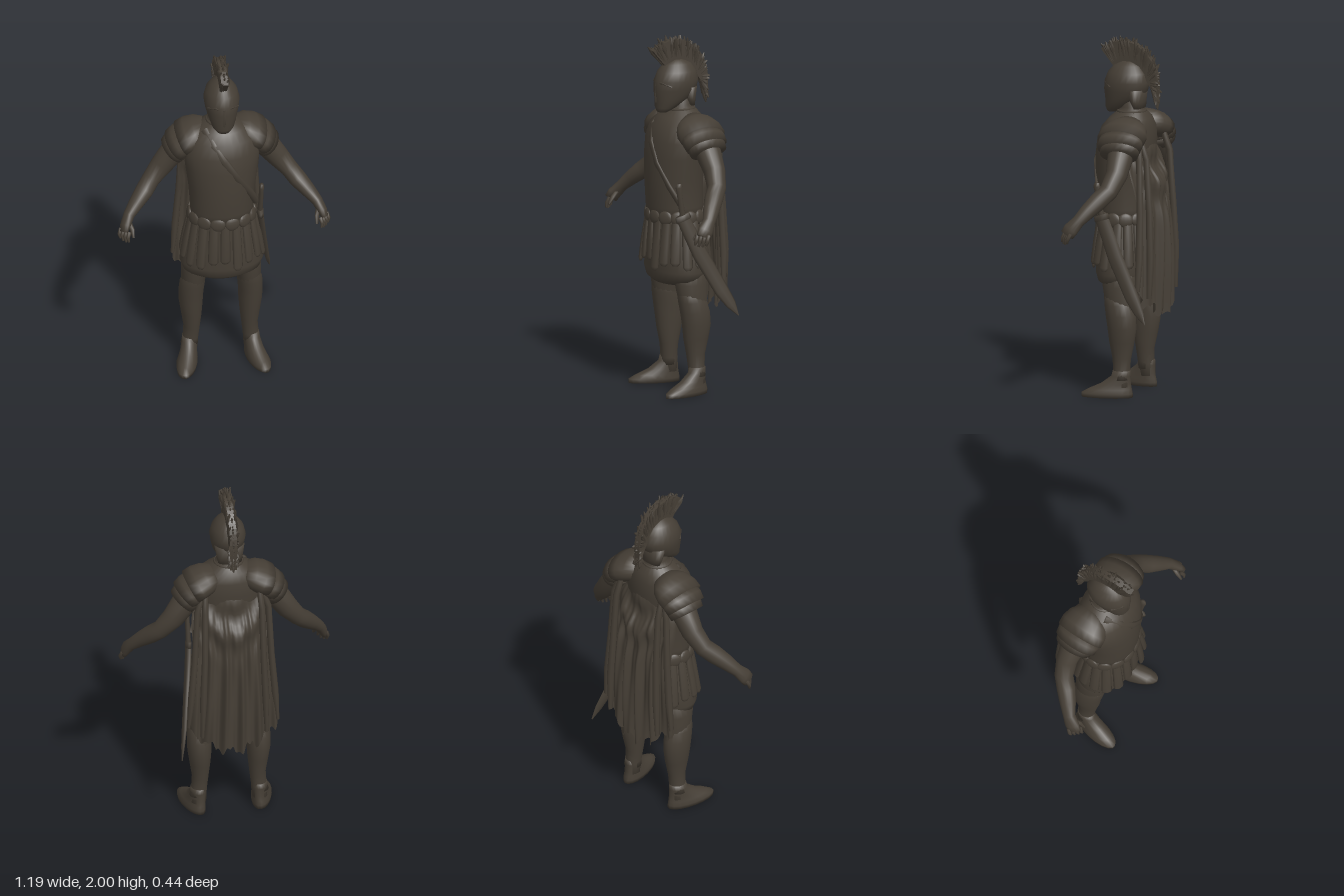
import * as THREE from 'three';
import { mergeGeometries } from 'three/addons/utils/BufferGeometryUtils.js';

const V = (x, y, z) => new THREE.Vector3(x, y, z);
const bronze = new THREE.MeshStandardMaterial({ color: 0x453e35, side: THREE.DoubleSide });
bronze.name = 'dark bronze';

// Closed loft through rings [x, y, z, radiusA, radiusB]; flat keeps the rings horizontal (list them upward)
function loft(rings, { n = 16, ref = V(0, 0, 1), flat = false } = {}) {
  const c = rings.map(r => V(r[0], r[1], r[2]));
  const pos = [], idx = [], last = rings.length - 1;
  const ring = (i, k) => {
    const t = flat ? V(0, 1, 0) : c[Math.min(i + 1, last)].clone().sub(c[Math.max(i - 1, 0)]).normalize();
    const a = t.clone().cross(ref).normalize(), b = a.clone().cross(t);
    for (let j = 0; j < n; j++) {
      const w = j / n * Math.PI * 2;
      const p = c[i].clone().addScaledVector(a, Math.cos(w) * rings[i][3] * k).addScaledVector(b, Math.sin(w) * rings[i][4] * k);
      pos.push(p.x, p.y, p.z);
    }
  };
  ring(0, 0);
  rings.forEach((_, i) => ring(i, 1));
  ring(last, 0);
  for (let i = 0; i < rings.length + 1; i++) for (let j = 0; j < n; j++) {
    const p = i * n + j, q = i * n + (j + 1) % n;
    idx.push(p, p + n, q, q, p + n, q + n);
  }
  const g = new THREE.BufferGeometry();
  g.setAttribute('position', new THREE.Float32BufferAttribute(pos, 3));
  g.setIndex(idx);
  g.computeVertexNormals();
  return g;
}

let seed = 7;
const rand = () => (seed = (seed * 16807) % 2147483647) / 2147483647;

export function createModel() {
  const model = new THREE.Group();
  model.name = 'warrior';
  const add = (name, geo, parent = model) => {
    const m = new THREE.Mesh(geo, bronze);
    m.name = name;
    parent.add(m);
    return m;
  };

  // Cuirass and neck
  add('torso', loft([
    [0, .95, .05, .18, .145], [0, 1.05, .055, .176, .155], [0, 1.2, .06, .188, .157], [0, 1.33, .055, .205, .158],
    [0, 1.42, .045, .215, .157], [0, 1.5, .035, .195, .143], [0, 1.55, .022, .14, .115], [0, 1.585, .015, .085, .08],
    [0, 1.61, .015, .06, .065], [0, 1.7, .02, .055, .06]], { n: 28, flat: true }));
  add('collar', new THREE.TorusGeometry(.075, .01, 6, 24).rotateX(Math.PI / 2).translate(0, 1.585, .018));

  // Diagonal shoulder strap
  add('strap', loft([[-.1, 1.56, .08, .022, .012], [-.06, 1.5, .162, .022, .01], [0, 1.41, .202, .022, .009],
    [.07, 1.3, .203, .022, .009], [.14, 1.18, .163, .022, .012], [.185, 1.08, .11, .022, .018]], { n: 8 }));

  // Skirt with a scalloped waist and hanging strips
  add('skirt', loft([[0, .615, .05, .17, .115], [0, .64, .05, .215, .142], [0, .69, .048, .234, .156], [0, .8, .045, .222, .154],
    [0, .95, .05, .187, .15], [0, 1.02, .05, .178, .152]], { n: 32, flat: true }));
  const strip = loft([[0, -.285, 0, .014, .006], [0, -.265, 0, .029, .013], [0, -.15, 0, .028, .015], [0, 0, 0, .024, .01]], { n: 8, flat: true });
  const scallop = new THREE.SphereGeometry(1, 12, 8).scale(.043, .04, .014);
  const hang = (name, geo, a, y, rx, rz, tilt) => {
    const m = add(name, geo);
    m.position.set(rx * Math.sin(a), y, .05 + rz * Math.cos(a));
    m.rotation.set(tilt, Math.atan2(Math.sin(a) / rx, Math.cos(a) / rz), 0, 'YXZ');
    return m;
  };
  for (let i = 0; i < 18; i++) {
    const a = i / 18 * Math.PI * 2;
    hang('skirtStrip', strip, a, .985, .183, .15, -.05 - .13 * Math.abs(Math.sin(a))).scale.y = .85 + .18 * rand();
  }
  for (let i = 0; i < 14; i++) hang('waistScallop', scallop, (i + .5) / 7 * Math.PI, .995, .182, .153, -.1);

  // Helmet with brow, nose ridge and neck guard
  add('helmet', loft([[0, 1.575, .13, .035, .03], [0, 1.6, .11, .06, .06], [0, 1.65, .07, .08, .102], [0, 1.7, .052, .093, .126],
    [0, 1.75, .045, .1, .129], [0, 1.8, .042, .087, .112], [0, 1.84, .04, .058, .08], [0, 1.863, .04, .025, .035]], { n: 24, flat: true }));
  add('neckGuard', loft([[0, 1.605, -.03, .066, .026], [0, 1.64, -.022, .074, .038], [0, 1.71, -.015, .085, .055]], { flat: true }));
  add('noseRidge', loft([[0, 1.63, .166, .008, .01], [0, 1.68, .17, .01, .01], [0, 1.74, .168, .013, .008]], { n: 6, flat: true }));
  for (const s of [-1, 1])
    add('brow', loft([[0, 1.735, .17, .006, .005], [s * .045, 1.745, .158, .007, .006], [s * .085, 1.725, .112, .005, .006]], { n: 6 }));

  // Crest: a solid core under fanned bristles, sweeping into a tail
  const spline = p => new THREE.CatmullRomCurve3(p.map(q => V(0, q[1], q[0])));
  const tips = spline([[.21, 1.94], [.13, 1.985], [.06, 1.995], [0, 1.985], [-.06, 1.95], [-.12, 1.88], [-.15, 1.78], [-.148, 1.68], [-.14, 1.6]]);
  const roots = spline([[.11, 1.82], [.09, 1.84], [.05, 1.85], [0, 1.845], [-.05, 1.81], [-.07, 1.78], [-.085, 1.75], [-.1, 1.73], [-.115, 1.7]]);
  const core = new THREE.Shape();
  const at = (t, k) => roots.getPoint(t).lerp(tips.getPoint(t), k);
  for (let i = 0; i <= 24; i++) { const p = at(i / 24, .86); core[i ? 'lineTo' : 'moveTo'](p.z, p.y); }
  for (let i = 24; i >= 0; i--) { const p = at(i / 24, 0); core.lineTo(p.z, p.y); }
  add('crestCore', new THREE.ExtrudeGeometry(core, { depth: .04, bevelEnabled: false }).translate(0, 0, -.02).rotateY(-Math.PI / 2));
  const bristles = [];
  const clamp = t => Math.min(1, Math.max(0, t));
  for (let i = 0; i <= 34; i++) for (const s of [-1, 0, 1]) {
    const t = clamp((i + rand() - .5) / 34);
    const a = at(t, .05), b = at(clamp(t + (rand() - .5) * .12), .86 + rand() * .17), m = a.clone().lerp(b, .7);
    const x = s * (.015 + rand() * .008);
    bristles.push(loft([[s * .01, a.y, a.z, .007, .007], [x, m.y, m.z, .011, .011], [x * (.6 + rand()), b.y, b.z, .004, .004]], { n: 4, ref: V(1, 0, 0) }));
  }
  add('crestBristles', mergeGeometries(bristles));

  // One side's limbs and shoulder plates, then mirrored
  const side = new THREE.Group();
  side.name = 'leftSide';
  add('arm', loft([[.17, 1.47, -.01, .06, .08], [.25, 1.38, -.025, .072, .073], [.32, 1.28, -.03, .063, .06], [.385, 1.2, -.01, .05, .053],
    [.43, 1.15, .032, .05, .053], [.48, 1.1, .073, .041, .046], [.525, 1.05, .11, .031, .036], [.55, 1.005, .145, .027, .045],
    [.56, .975, .163, .02, .042]]), side);
  for (let k = 0; k < 4; k++) {
    const x = .573 - k * .014, z = .137 + k * .016;
    add('finger', loft([[x, .985, z, .012, .012], [x + .011, .955, z + .012, .011, .011], [x + .006, .918 + Math.abs(k - 1.5) * .008, z + .018, .006, .006]], { n: 6 }), side);
  }
  add('thumb', loft([[.53, 1.025, .13, .015, .015], [.515, .99, .175, .013, .013], [.512, .955, .2, .007, .007]], { n: 6 }), side);

  // Overlapping shoulder plates stepping down the upper arm
  const plates = [
    [[.085, 1.515, 0, .062, .085], [.13, 1.5, -.005, .077, .122], [.175, 1.48, -.008, .083, .138], [.218, 1.456, -.01, .08, .138]],
    [[.19, 1.465, -.01, .075, .128], [.225, 1.44, -.012, .08, .13], [.255, 1.412, -.015, .078, .125]],
    [[.22, 1.43, -.015, .074, .112], [.245, 1.405, -.018, .078, .114], [.268, 1.378, -.02, .077, .108]]];
  plates.forEach(p => add('shoulderPlate', loft(p, { n: 20 }), side));

  // Leg, greave and foot
  add('leg', loft([[.172, .06, 0, .043, .046], [.166, .13, .003, .041, .045], [.16, .25, .005, .044, .052], [.162, .37, 0, .055, .075],
    [.16, .46, .01, .06, .084], [.156, .53, .022, .066, .085], [.15, .62, .028, .073, .096], [.125, .75, .035, .085, .1]], { n: 18, flat: true }), side);
  add('greave', loft([[.174, .1, .005, .048, .048], [.168, .14, .005, .044, .046], [.161, .22, .007, .046, .054], [.163, .31, .006, .058, .073],
    [.166, .39, .004, .067, .084], [.165, .46, .012, .069, .087], [.16, .52, .025, .07, .083], [.156, .56, .04, .062, .072],
    [.154, .585, .055, .048, .055]], { n: 18, flat: true }), side);
  const foot = add('foot', loft([[.004, 0, .084, .055, .145], [.004, .022, .084, .058, .145], [.002, .045, .066, .052, .122],
    [0, .075, .035, .046, .085], [0, .12, .006, .042, .054], [0, .15, .003, .04, .05]], { n: 18, flat: true }), side);
  foot.position.x = .173;
  foot.rotation.y = .24;
  const right = side.clone();
  right.name = 'rightSide';
  right.scale.x = -1;
  model.add(side, right);

  // Sheathed sword on the left hip
  const across = { n: 8, ref: V(1, 0, 0) };
  add('swordSheath', loft([[.208, 1.0, .105, .04, .018], [.235, .8, .015, .046, .017], [.27, .59, -.1, .042, .014],
    [.287, .51, -.15, .03, .01], [.299, .445, -.19, .003, .003]], across));
  add('swordHilt', loft([[.212, 1.205, .135, .014, .01], [.212, 1.185, .135, .022, .015], [.21, 1.155, .133, .016, .013], [.207, 1.0, .107, .018, .015]], across));
  add('swordGuard', loft([[.207, 1.025, .113, .045, .018], [.209, .995, .103, .048, .018]], across));

  // Cape: smooth over the shoulders, swagged mid-back, folded down to a ragged hem
  const cape = new THREE.PlaneGeometry(2, 1, 80, 40), P = cape.attributes.position;
  const curve = p => new THREE.SplineCurve(p.map(q => new THREE.Vector2(...q)));
  const width = curve([[0, .13], [.12, .22], [.35, .22], [.65, .238], [1, .25]]);
  const depth = curve([[0, -.05], [.12, -.13], [.35, -.172], [.65, -.185], [1, -.18]]);
  for (let i = 0; i < P.count; i++) {
    const u = P.getX(i), v = .5 - P.getY(i);
    const top = 1.59 - .06 * u * u;
    const hem = .47 + .13 * u * u + .025 * Math.sin(u * 15) + .012 * Math.sin(u * 41);
    const fold = THREE.MathUtils.smoothstep(v, .12, .6) * (.015 * Math.sin(u * 17 + 2 * v) + .008 * Math.sin(u * 31 - 3 * v));
    const swag = .022 * Math.sin(30 * (v + .22 * u * u)) * Math.exp(-Math.pow((v - .3) / .13, 2)) * (1 - u * u);
    P.setXYZ(i, u * width.getPoint(v).y, top - v * (top - hem), depth.getPoint(v).y + .075 * u * u + fold + swag);
  }
  cape.computeVertexNormals();
  add('cape', cape);
  // Gathered folds along the cape's edges
  for (const s of [-1, 1]) for (const k of [0, 1])
    add('capeFold', loft([[s * .15, 1.5, -.09, .015, .015], [s * (.2 - k * .04), 1.35, -.115 - k * .025, .018, .018], [s * (.215 - k * .05), 1.05, -.125 - k * .035, .018, .02],
      [s * (.235 - k * .06), .8, -.13 - k * .04, .02, .022], [s * (.25 - k * .07), .62 - k * .05, -.125 - k * .04, .01, .016]], { n: 8 }));
  return model;
}
